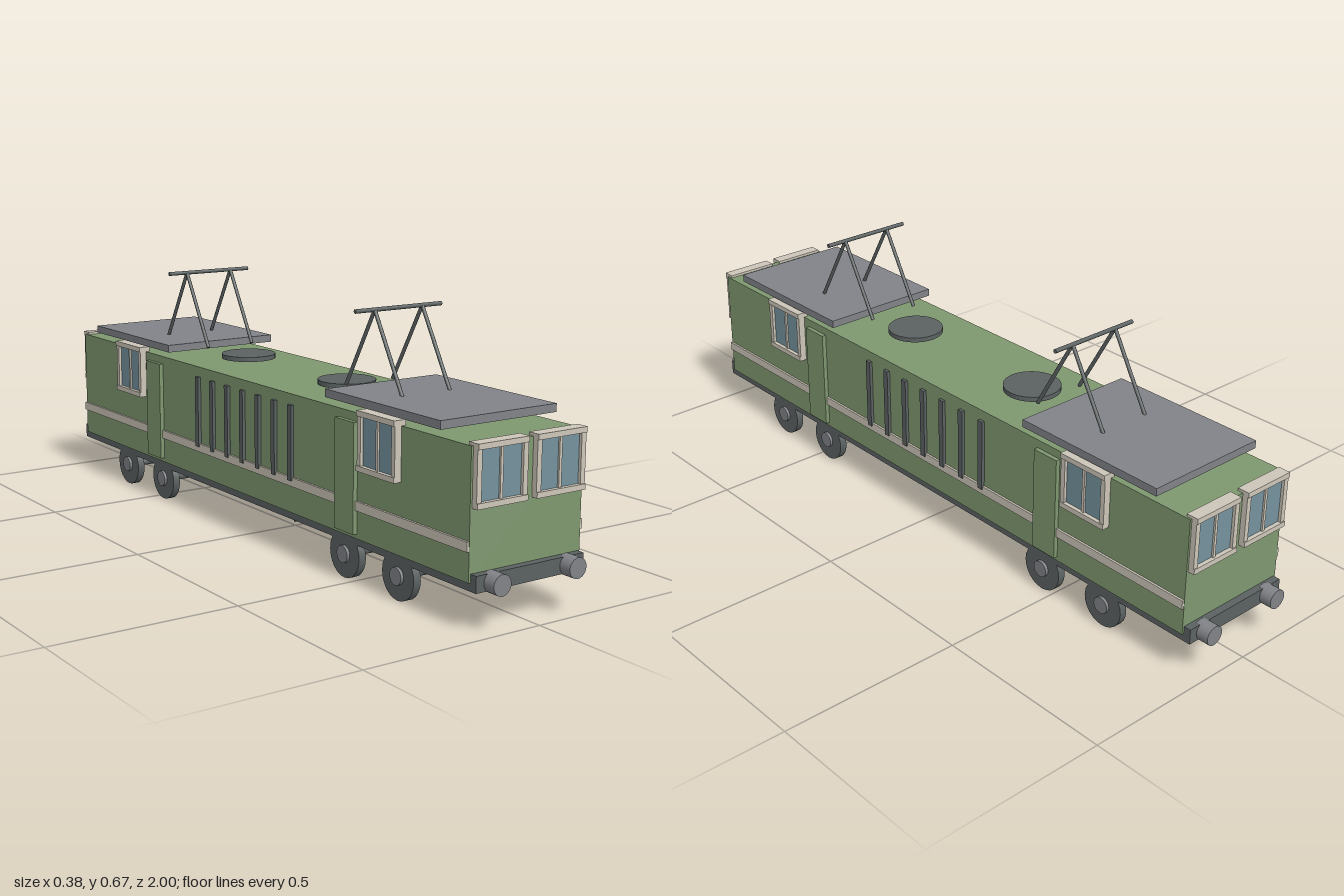
import * as THREE from 'three';

const mat = (color) => new THREE.MeshStandardMaterial({ color });
const green = mat(0x7f9870), cream = mat(0xcdc6b9), glass = mat(0x75929d);
const dark = mat(0x5c6262), slate = mat(0x818388);

function add(parent, name, geometry, material, x, y, z) {
  const mesh = new THREE.Mesh(geometry, material);
  mesh.name = name;
  mesh.position.set(x, y, z);
  parent.add(mesh);
  return mesh;
}

const box = (parent, name, material, w, h, d, x, y, z) =>
  add(parent, name, new THREE.BoxGeometry(w, h, d), material, x, y, z);

// Cylinder between two points
function rod(parent, name, material, radius, a, b, sides = 24) {
  const from = new THREE.Vector3(...a), to = new THREE.Vector3(...b);
  const dir = to.clone().sub(from);
  const mesh = add(parent, name, new THREE.CylinderGeometry(radius, radius, dir.length(), sides), material, 0, 0, 0);
  mesh.position.copy(from).add(to).multiplyScalar(0.5);
  mesh.quaternion.setFromUnitVectors(new THREE.Vector3(0, 1, 0), dir.normalize());
  return mesh;
}

// Two-pane window facing +z, centred on the wall surface
function makeWindow(name) {
  const g = new THREE.Group();
  g.name = name;
  for (const s of [-1, 1]) {
    box(g, 'stile', cream, 0.014, 0.125, 0.028, s * 0.068, 0, 0);
    box(g, 'rail', cream, 0.15, 0.014, 0.034, 0, s * 0.068, 0);
    box(g, 'pane', glass, 0.058, 0.122, 0.012, s * 0.0325, 0, 0);
  }
  box(g, 'mullion', cream, 0.008, 0.122, 0.022, 0, 0, 0);
  return g;
}

function makeWheelset(z) {
  const g = new THREE.Group();
  g.name = 'wheelset';
  g.position.set(0, 0.063, z);
  rod(g, 'axle', dark, 0.011, [-0.15, 0, 0], [0.15, 0, 0], 16);
  for (const s of [-1, 1]) {
    rod(g, 'wheel', dark, 0.062, [s * 0.142, 0, 0], [s * 0.163, 0, 0]);
    rod(g, 'hub', slate, 0.0225, [s * 0.16, 0, 0], [s * 0.171, 0, 0]);
  }
  return g;
}

// Two inverted V arms carrying a contact bar
function makePantograph(z) {
  const g = new THREE.Group();
  g.name = 'pantograph';
  g.position.z = z;
  for (const x of [-0.074, 0.074])
    for (const s of [-1, 1])
      rod(g, 'arm', dark, 0.005, [x, 0.465, s * 0.118], [x, 0.67, 0], 12);
  rod(g, 'contactBar', dark, 0.0055, [-0.134, 0.67, 0], [0.134, 0.67, 0], 12);
  return g;
}

export function createModel() {
  const model = new THREE.Group();
  model.name = 'locomotive';

  // Hull and underframe
  box(model, 'body', green, 0.338, 0.316, 1.892, 0, 0.275, 0);
  box(model, 'underframe', dark, 0.327, 0.041, 1.932, 0, 0.1175, 0);
  box(model, 'centreBlock', dark, 0.006, 0.006, 0.006, 0, 0.015, 0);

  // Side fittings
  for (const s of [-1, 1]) {
    box(model, 'stripe', cream, 0.008, 0.024, 1.89, s * 0.171, 0.202, 0);
    for (let i = -3; i <= 3; i++)
      box(model, 'louvre', dark, 0.016, 0.2, 0.017, s * 0.17, 0.305, i * 0.0783);
    for (const e of [-1, 1]) {
      box(model, 'door', green, 0.024, 0.282, 0.08, s * 0.169, 0.27, e * 0.482);
      const side = makeWindow('sideWindow');
      side.position.set(s * 0.174, 0.372, e * 0.62);
      side.rotation.y = s * Math.PI / 2;
      model.add(side);
    }
  }

  // Both ends are alike
  for (const e of [-1, 1]) {
    for (const s of [-1, 1]) {
      const end = makeWindow('cabWindow');
      end.position.set(s * 0.0885, 0.365, e * 0.947);
      end.rotation.y = e > 0 ? 0 : Math.PI;
      model.add(end);
      rod(model, 'buffer', slate, 0.026, [s * 0.115, 0.117, e * 0.955], [s * 0.115, 0.117, e]);
    }
    // Roof equipment
    box(model, 'roofPanel', slate, 0.352, 0.021, 0.452, 0, 0.4625, e * 0.62);
    rod(model, 'roofVent', dark, 0.077, [0, 0.443, e * 0.241], [0, 0.456, e * 0.241], 32);
    model.add(makePantograph(e * 0.459));
    // Running gear
    for (const z of [0.462, 0.68]) model.add(makeWheelset(e * z));
  }
  return model;
}
